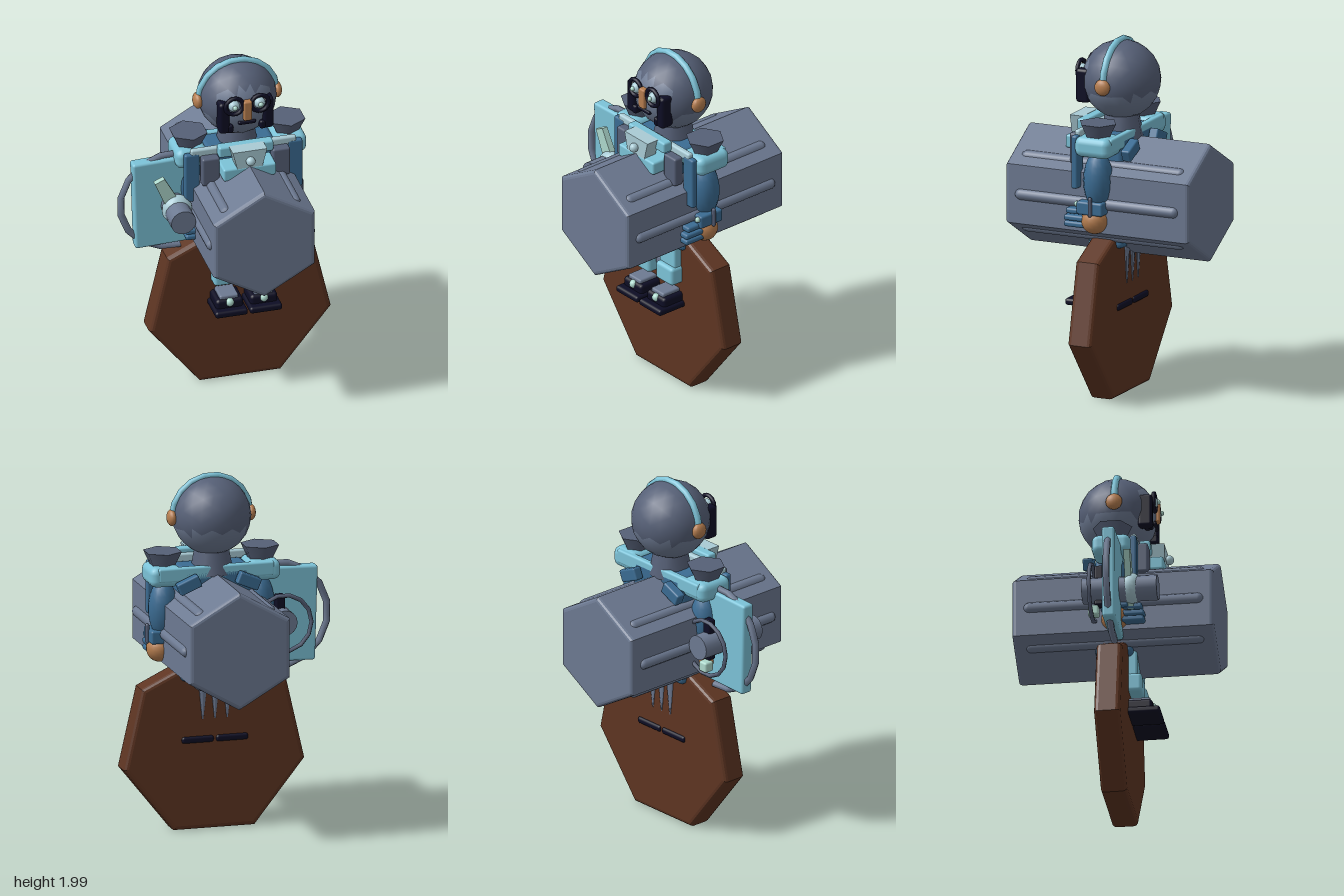
import * as THREE from 'three';
import { RoundedBoxGeometry } from 'three/addons/geometries/RoundedBoxGeometry.js';

const colours = {
  slate: 0x6d7a92, darkSlate: 0x566077, cyan: 0x7cc3d8, pale: 0xa9cbd5, mint: 0xaed9cd,
  blue: 0x3b6c93, tan: 0xb57d4f, navy: 0x0d0d24, brown: 0x5e3522,
};

export function createModel() {
  const root = new THREE.Group();
  const figure = new THREE.Group();
  figure.name = 'figure';
  figure.position.x = 0.085; // the body axis sits a little to its left
  root.add(figure);

  const mat = {};
  for (const [name, hex] of Object.entries(colours)) {
    mat[name] = new THREE.MeshStandardMaterial({ color: hex });
    mat[name].name = name;
  }

  const add = (name, geo, colour, x, y, z, rx = 0, ry = 0, rz = 0) => {
    const mesh = new THREE.Mesh(geo, mat[colour]);
    mesh.name = name;
    mesh.position.set(x, y, z);
    mesh.rotation.set(rx, ry, rz);
    figure.add(mesh);
    return mesh;
  };
  // Rounded box given by its limits
  const box = (name, colour, x0, x1, y0, y1, z0, z1, r = 0.012, rz = 0) =>
    add(name, new RoundedBoxGeometry(x1 - x0, y1 - y0, z1 - z0, 2, r), colour,
      (x0 + x1) / 2, (y0 + y1) / 2, (z0 + z1) / 2, 0, 0, rz);
  const ball = (name, colour, r, x, y, z, sx = 1, sy = 1, sz = 1) => {
    const m = add(name, new THREE.SphereGeometry(r, 16, 12), colour, x, y, z);
    m.scale.set(sx, sy, sz);
    return m;
  };
  // Bevelled regular prism along z, one corner up
  const prism = (name, colour, sides, radius, depth, bevel, y, z) => {
    const pts = [];
    const r = radius - bevel / Math.cos(Math.PI / sides);
    for (let i = 0; i < sides; i++) {
      const a = Math.PI / 2 + (i / sides) * Math.PI * 2;
      pts.push(new THREE.Vector2(Math.cos(a) * r, Math.sin(a) * r));
    }
    const geo = new THREE.ExtrudeGeometry(new THREE.Shape(pts), {
      depth: depth - 2 * bevel, bevelEnabled: true, bevelSize: bevel, bevelThickness: bevel, bevelSegments: 3,
    });
    geo.translate(0, 0, bevel - depth / 2);
    add(name, geo, colour, 0, y, z);
  };

  // Base plate and drum
  prism('basePlate', 'brown', 7, 0.53, 0.145, 0.025, 0.485, 0);
  prism('drum', 'slate', 6, 0.332, 1.115, 0.022, 1.12, 0.002);
  for (let i = 0; i < 8; i++) {
    const a = (i * Math.PI) / 4;
    add('drumRidge', new THREE.CapsuleGeometry(0.032, 0.93, 4, 10), 'slate',
      Math.cos(a) * 0.278, 1.12 + Math.sin(a) * 0.278, 0.005, Math.PI / 2);
  }

  // Head: faceted ball split into hair and face
  const ico = new THREE.IcosahedronGeometry(0.218, 3);
  const p = ico.attributes.position, n = ico.attributes.normal;
  const halves = { hair: [[], []], face: [[], []] };
  for (let i = 0; i < p.count; i += 3) {
    const y = (p.getY(i) + p.getY(i + 1) + p.getY(i + 2)) / 3;
    const z = (p.getZ(i) + p.getZ(i + 1) + p.getZ(i + 2)) / 3;
    const half = halves[y < -0.06 || (z > 0.14 && y < 0.12) ? 'face' : 'hair'];
    for (let k = i; k < i + 3; k++) {
      half[0].push(p.getX(k), p.getY(k), p.getZ(k));
      half[1].push(n.getX(k), n.getY(k), n.getZ(k));
    }
  }
  for (const [name, [pos, nor]] of Object.entries(halves)) {
    const geo = new THREE.BufferGeometry();
    geo.setAttribute('position', new THREE.Float32BufferAttribute(pos, 3));
    geo.setAttribute('normal', new THREE.Float32BufferAttribute(nor, 3));
    add(name, geo, name === 'face' ? 'slate' : 'darkSlate', 0, 1.762, -0.008);
  }
  add('headband', new THREE.TorusGeometry(0.222, 0.02, 8, 9, Math.PI), 'cyan', 0, 1.76, 0);
  box('nose', 'tan', -0.024, 0.024, 1.72, 1.84, 0.17, 0.225, 0.01);
  box('moustache', 'navy', -0.05, 0.05, 1.69, 1.712, 0.175, 0.21, 0.008);
  add('neck', new THREE.CylinderGeometry(0.09, 0.12, 0.16, 10), 'darkSlate', 0, 1.52, -0.01);

  // Torso and chest pieces
  box('torso', 'blue', -0.2, 0.2, 0.85, 1.49, -0.11, 0.1, 0.03);
  box('collarBar', 'pale', -0.3, 0.3, 1.475, 1.525, 0.1, 0.135);
  box('upperCollar', 'cyan', -0.155, 0.155, 1.485, 1.55, 0.13, 0.19);
  box('chestBlock', 'cyan', -0.15, 0.15, 1.375, 1.45, 0.13, 0.262);
  const bib = new THREE.Shape([[-0.098, 0.055], [-0.07, -0.055], [0.07, -0.055], [0.098, 0.055]]
    .map(([x, y]) => new THREE.Vector2(x, y)));
  add('bib', new THREE.ExtrudeGeometry(bib, { depth: 0.08, bevelEnabled: false }), 'pale', 0, 1.495, 0.18);
  ball('bibStud', 'pale', 0.026, 0, 1.492, 0.275);
  box('backBand', 'cyan', -0.33, 0.33, 1.42, 1.5, -0.11, -0.07);

  for (const s of [-1, 1]) {
    const sbox = (name, colour, x0, x1, ...rest) =>
      s > 0 ? box(name, colour, x0, x1, ...rest) : box(name, colour, -x1, -x0, ...rest);

    // Face details
    ball('ear', 'tan', 0.046, s * 0.225, 1.76, 0, 0.6, 1, 1);
    add('spectacleRim', new THREE.TorusGeometry(0.05, 0.012, 8, 14), 'navy', s * 0.073, 1.812, 0.202);
    ball('eye', 'pale', 0.032, s * 0.073, 1.81, 0.192);
    ball('pupil', 'mint', 0.014, s * 0.073, 1.812, 0.222);
    sbox('sideburn', 'navy', 0.095, 0.155, 1.64, 1.83, 0.12, 0.2, 0.018);
    sbox('cheekWhisker', 'navy', 0.075, 0.11, 1.64, 1.69, 0.15, 0.2, 0.012);

    // Coat panels, shoulders and shoulder cups
    sbox('coatPanel', 'blue', 0.25, 0.335, 1.2, 1.5, 0.1, 0.138);
    sbox('lapel', 'darkSlate', 0.15, 0.25, 1.32, 1.49, 0.132, 0.19);
    add('backFlap', new RoundedBoxGeometry(0.13, 0.07, 0.055, 2, 0.01), 'blue', s * 0.17, 1.412, -0.145, 0, 0, s * -0.4);
    sbox('shoulder', 'cyan', 0.19, 0.372, 1.39, 1.505, -0.108, 0.108, 0.04);
    add('shoulderCup', new THREE.CylinderGeometry(0.109, 0.07, 0.08, 6), 'darkSlate', s * 0.278, 1.537, 0);

    // Arms and hands
    ball('arm', 'blue', 0.15, s * 0.275, 1.25, 0, 0.55, 1.1, 0.55);
    sbox('cuff', 'blue', 0.215, 0.358, 1.065, 1.14, -0.062, 0.095);
    add('cuffStrap', new THREE.CapsuleGeometry(0.012, 0.09, 3, 8), 'darkSlate', s * 0.362, 1.115, 0.008);
    ball('cuffStud', 'mint', 0.016, s * 0.335, 1.12, 0.1);
    ball('hand', 'tan', 0.075, s * 0.29, 1.025, 0.014);
    for (const y of [1.075, 1.035, 1.0])
      sbox('finger', 'blue', 0.25, 0.34, y - 0.016, y + 0.016, 0.05, y > 1.06 ? 0.17 : 0.182, 0.012);

    // Legs and shoes
    sbox('shin', 'cyan', 0.03, 0.16, 0.7, 0.95, 0.02, 0.118);
    sbox('knee', 'cyan', 0.026, 0.17, 0.64, 0.748, 0.04, 0.146, 0.02);
    sbox('sole', 'navy', 0.006, 0.19, 0.497, 0.535, -0.085, 0.248, 0.015);
    sbox('shoe', 'navy', 0.02, 0.175, 0.52, 0.585, -0.06, 0.205, 0.02);
    sbox('shoePlate', 'slate', 0.045, 0.15, 0.55, 0.605, 0.07, 0.19, 0.01);
    ball('shoeStud', 'mint', 0.024, s * 0.097, 0.565, 0.195);
  }

  // Tail strips hanging below the drum
  for (const x of [-0.07, 0, 0.07]) {
    const tail = add('tailStrip', new THREE.CylinderGeometry(0.032, 0.004, 0.24, 6), 'slate', x, 0.75, -0.075);
    tail.scale.z = 0.5;
  }
  box('buckle', 'slate', -0.025, 0.025, 0.69, 0.75, 0.06, 0.1);

  // Carried case with hoop handle
  box('case', 'cyan', -0.6, -0.25, 0.905, 1.44, -0.016, 0.056, 0.015, 0.03);
  add('caseHoop', new THREE.TorusGeometry(0.295, 0.02, 6, 9, Math.PI * 1.1), 'slate', -0.375, 1.165, 0.018, 0, 0, Math.PI * 0.45);

  // Lamp beside the drum
  add('lampBarrel', new THREE.CylinderGeometry(0.071, 0.071, 0.415, 16), 'slate', -0.378, 1.155, 0.057, Math.PI / 2);
  ball('lampBulge', 'pale', 0.085, -0.375, 1.16, 0.12, 1, 1, 0.75);
  const blade = new THREE.Shape([[-0.035, 0.2], [0.025, 0.2], [0.04, 0.03], [0.01, -0.13], [-0.04, 0]]
    .map(([x, y]) => new THREE.Vector2(x, y)));
  add('lampBlade', new THREE.ExtrudeGeometry(blade, { depth: 0.035, bevelEnabled: false }), 'mint', -0.388, 1.17, 0.09, 0, 0, 0.42);
  add('lampRing', new THREE.TorusGeometry(0.16, 0.012, 6, 14), 'darkSlate', -0.385, 1.14, -0.095);
  box('lampGrip', 'navy', -0.4, -0.345, 1.06, 1.3, -0.085, -0.035);
  box('lampFoot', 'mint', -0.41, -0.35, 1.0, 1.06, -0.12, -0.06);

  return root;
}
